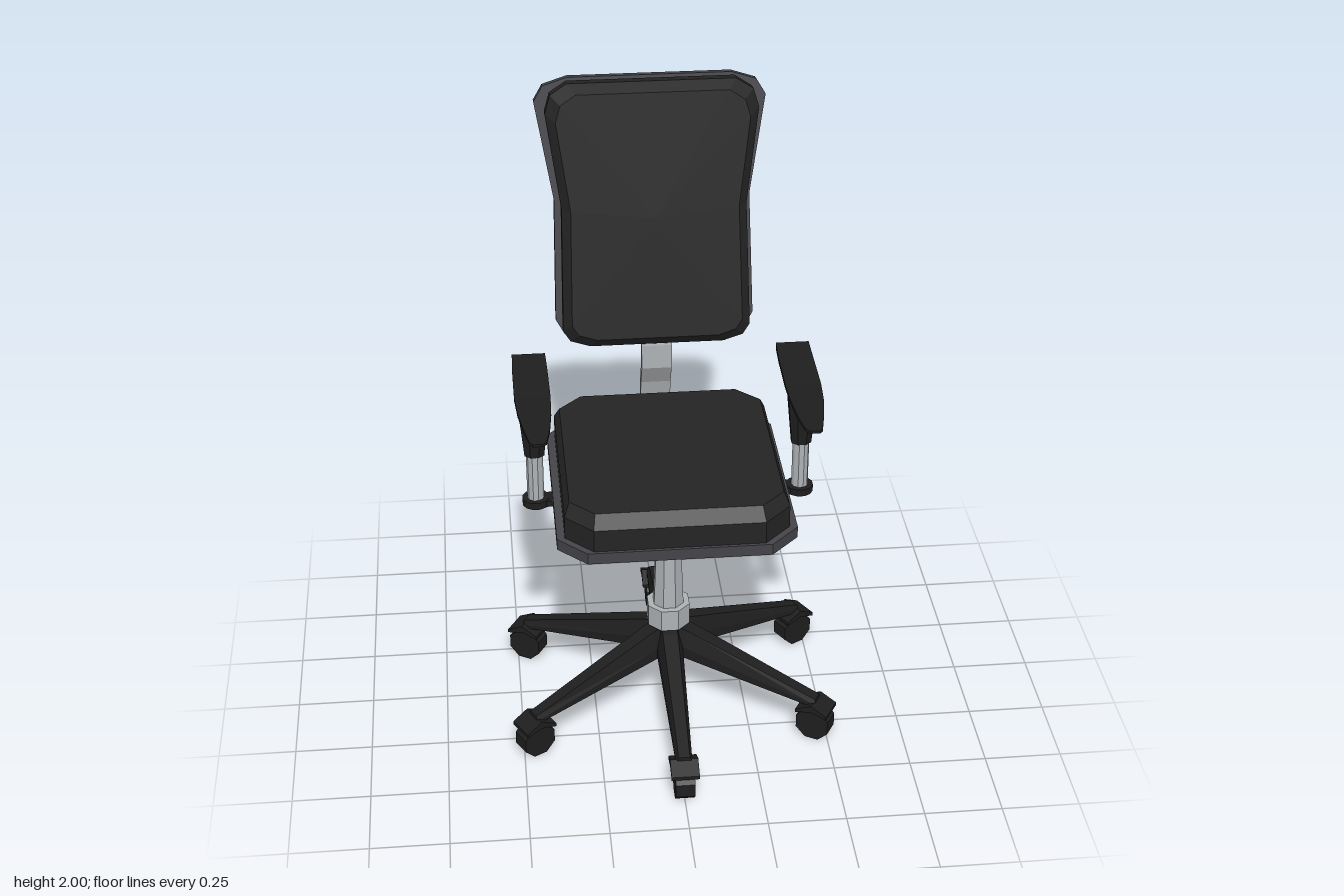
import * as THREE from 'three';

const mat = (name, color, side = THREE.FrontSide) => {
  const m = new THREE.MeshStandardMaterial({ color, side, flatShading: true });
  m.name = name;
  return m;
};

// Skin a list of equal-length rings of [x, y, z], capped at both ends, facing outwards
function loft(rings) {
  const tris = [];
  const n = rings[0].length;
  for (let i = 0; i < rings.length - 1; i++) {
    for (let j = 0; j < n; j++) {
      const k = (j + 1) % n;
      const a = rings[i][j], b = rings[i][k], c = rings[i + 1][k], d = rings[i + 1][j];
      tris.push([a, b, c], [a, c, d]);
    }
  }
  const cap = (ring, flip) => {
    const mid = [0, 1, 2].map(q => ring.reduce((s, p) => s + p[q], 0) / n);
    ring.forEach((p, j) => {
      const next = ring[(j + 1) % n];
      tris.push(flip ? [mid, next, p] : [mid, p, next]);
    });
  };
  cap(rings[0], true);
  cap(rings[rings.length - 1], false);
  let volume = 0;
  for (const [a, b, c] of tris) {
    volume += a[0] * (b[1] * c[2] - b[2] * c[1]) + a[1] * (b[2] * c[0] - b[0] * c[2]) + a[2] * (b[0] * c[1] - b[1] * c[0]);
  }
  if (volume < 0) tris.forEach(t => t.reverse());
  const g = new THREE.BufferGeometry();
  g.setAttribute('position', new THREE.Float32BufferAttribute(tris.flat(2), 3));
  g.computeVertexNormals();
  return g;
}

// Right half of an outline, completed by its mirror image
const mirrored = half => [...half, ...half.slice().reverse().map(([x, y]) => [-x, y])];

// Rectangle with cut corners, in x and z
const cutRect = (hx, hz, c) => mirrored([[hx - c, -hz], [hx, -hz + c], [hx, hz - c], [hx - c, hz]]);

export function createModel() {
  const fabric = mat('black fabric', 0x242424);
  const plastic = mat('black plastic', 0x1e1e1e);
  const shellGrey = mat('dark grey shell', 0x444449);
  const metal = mat('brushed metal', 0xaeb2b5);
  const model = new THREE.Group();
  model.name = 'officeChair';
  const CZ = 0.045; // column axis

  const add = (parent, name, geometry, material, x = 0, y = 0, z = 0) => {
    const m = new THREE.Mesh(geometry, material);
    m.name = name;
    m.position.set(x, y, z);
    parent.add(m);
    return m;
  };
  const cyl = (top, bottom, y0, y1, sides) =>
    new THREE.CylinderGeometry(top, bottom, y1 - y0, sides).rotateY(Math.PI / sides).translate(0, (y0 + y1) / 2, 0);

  // Six-legged base with casters
  const base = new THREE.Group();
  base.name = 'base';
  base.position.z = CZ;
  model.add(base);
  add(base, 'hub', cyl(0.065, 0.04, 0.16, 0.31, 8), plastic);
  const legRing = (r, bottom, top, wb, wt) =>
    [[-wb, bottom, r], [wb, bottom, r], [wb, bottom + (top - bottom) * 0.4, r], [wt, top, r], [-wt, top, r], [-wb, bottom + (top - bottom) * 0.4, r]];
  const legGeo = loft([legRing(0.02, 0.2, 0.315, 0.042, 0.025), legRing(0.08, 0.2, 0.3, 0.042, 0.025), legRing(0.54, 0.127, 0.155, 0.026, 0.018)]);
  const wheelGeo = new THREE.CylinderGeometry(0.06, 0.06, 0.062, 8).rotateY(Math.PI / 8).rotateZ(Math.PI / 2);
  const hoodRing = x => [[x, 0.105, -0.055], [x, 0.133, 0], [x, 0.105, 0.055], [x, 0.117, 0.055], [x, 0.145, 0], [x, 0.117, -0.055]];
  const hoodGeo = loft([hoodRing(-0.045), hoodRing(0.045)]);
  for (let i = 0; i < 6; i++) {
    const spoke = new THREE.Group();
    spoke.name = 'legWithCaster';
    spoke.rotation.y = i * Math.PI / 3;
    base.add(spoke);
    add(spoke, 'leg', legGeo, plastic);
    add(spoke, 'casterHood', hoodGeo, plastic, 0, 0, 0.535);
    add(spoke, 'casterWheel', wheelGeo, plastic, 0, 0.06, 0.535);
  }

  // Gas-lift column
  const column = new THREE.Group();
  column.name = 'column';
  column.position.z = CZ;
  model.add(column);
  add(column, 'collar', cyl(0.074, 0.074, 0.31, 0.387, 8), metal);
  add(column, 'tube', cyl(0.038, 0.053, 0.387, 0.77, 8), metal);
  add(column, 'flange', cyl(0.08, 0.045, 0.765, 0.817, 8), metal);

  // Seat pan and cushion, as stacked cut-corner sections
  const slab = layers => loft(layers.map(([y, hx, hz, c]) => cutRect(hx, hz, c).map(([x, z]) => [x, y, z])));
  add(model, 'seatPan', slab([[0.822, 0.375, 0.405, 0.09], [0.86, 0.375, 0.405, 0.09]]), shellGrey, 0, 0, CZ);
  add(model, 'seatUnderside', slab([[0.818, 0.345, 0.375, 0.085], [0.824, 0.345, 0.375, 0.085]]), fabric, 0, 0, CZ);
  add(model, 'seatCushion', slab([[0.858, 0.35, 0.395, 0.085], [0.935, 0.35, 0.395, 0.085], [0.975, 0.333, 0.36, 0.075]]), fabric, 0, 0, CZ);

  // Tilted backrest: shell behind, cushion in front
  const back = new THREE.Group();
  back.name = 'backrest';
  back.position.set(0, 1.11, -0.456);
  back.rotation.x = -0.197;
  model.add(back);
  const panel = (half, layers) => loft(layers.map(([z, inset]) =>
    mirrored(half).map(([x, y]) => [x * (1 - inset / 0.32), 0.45 + (y - 0.45) * (1 - inset / 0.43), z])));
  const shellHalf = [[0.22, 0], [0.3, 0.035], [0.328, 0.085], [0.32, 0.49], [0.375, 0.815], [0.345, 0.865], [0.265, 0.89]];
  const cushionHalf = [[0.22, 0.015], [0.285, 0.035], [0.308, 0.07], [0.3, 0.48], [0.343, 0.79], [0.325, 0.85], [0.27, 0.885]];
  add(back, 'backShell', panel(shellHalf, [[0, 0], [0.036, 0]]), shellGrey);
  add(back, 'backCushion', panel(cushionHalf, [[0.03, 0.018], [0.065, 0], [0.12, 0], [0.156, 0.03]]), fabric);

  // Bent flat bar that carries the backrest, as [z, y] points
  const path = [[-0.117, 0.79], [-0.315, 0.79], [-0.395, 0.808], [-0.434, 0.885], [-0.413, 0.975], [-0.37, 1.05], [-0.37, 1.13], [-0.385, 1.19]];
  const barRings = path.map(([z, y], i) => {
    const p = path[Math.max(i - 1, 0)], q = path[Math.min(i + 1, path.length - 1)];
    const dz = q[0] - p[0], dy = q[1] - p[1], s = 0.014 / Math.hypot(dz, dy);
    const oz = -dy * s, oy = dz * s;
    return [[-0.05, y + oy, z + oz], [0.05, y + oy, z + oz], [0.05, y - oy, z - oz], [-0.05, y - oy, z - oz]];
  });
  add(model, 'backSupportBar', loft(barRings), metal);

  // Cross bar under the seat with round ends
  add(model, 'armCrossBar', new THREE.BoxGeometry(0.86, 0.022, 0.055), plastic, 0, 0.807, CZ);

  // Armrests: pad sections as [z, inner x, outer x, bottom y, top y]
  const padSections = [
    [-0.205, 0.375, 0.482, 1.182, 1.205], [-0.12, 0.372, 0.484, 1.18, 1.195], [0.05, 0.37, 0.484, 1.179, 1.191],
    [0.15, 0.373, 0.477, 1.179, 1.191], [0.25, 0.382, 0.462, 1.179, 1.191], [0.325, 0.395, 0.447, 1.181, 1.191], [0.338, 0.408, 0.438, 1.182, 1.191],
  ];
  for (const side of [1, -1]) {
    const arm = new THREE.Group();
    arm.name = side > 0 ? 'leftArmrest' : 'rightArmrest';
    model.add(arm);
    const x = side * 0.427;
    add(arm, 'armMount', cyl(0.044, 0.044, 0.796, 0.82, 12), plastic, x, 0, CZ);
    add(arm, 'armPost', cyl(0.027, 0.027, 0.815, 0.99, 10), metal, x, 0, CZ);
    add(arm, 'armSleeve', cyl(0.054, 0.034, 0.98, 1.183, 8).scale(1, 1, 0.85), plastic, x, 0, CZ);
    const rings = padSections.map(([z, a, b, y0, y1]) =>
      [[side * a, y0, z], [side * b, y0, z], [side * b, y1, z], [side * a, y1, z]]);
    add(arm, 'armPad', loft(rings), plastic);
  }
  return model;
}
